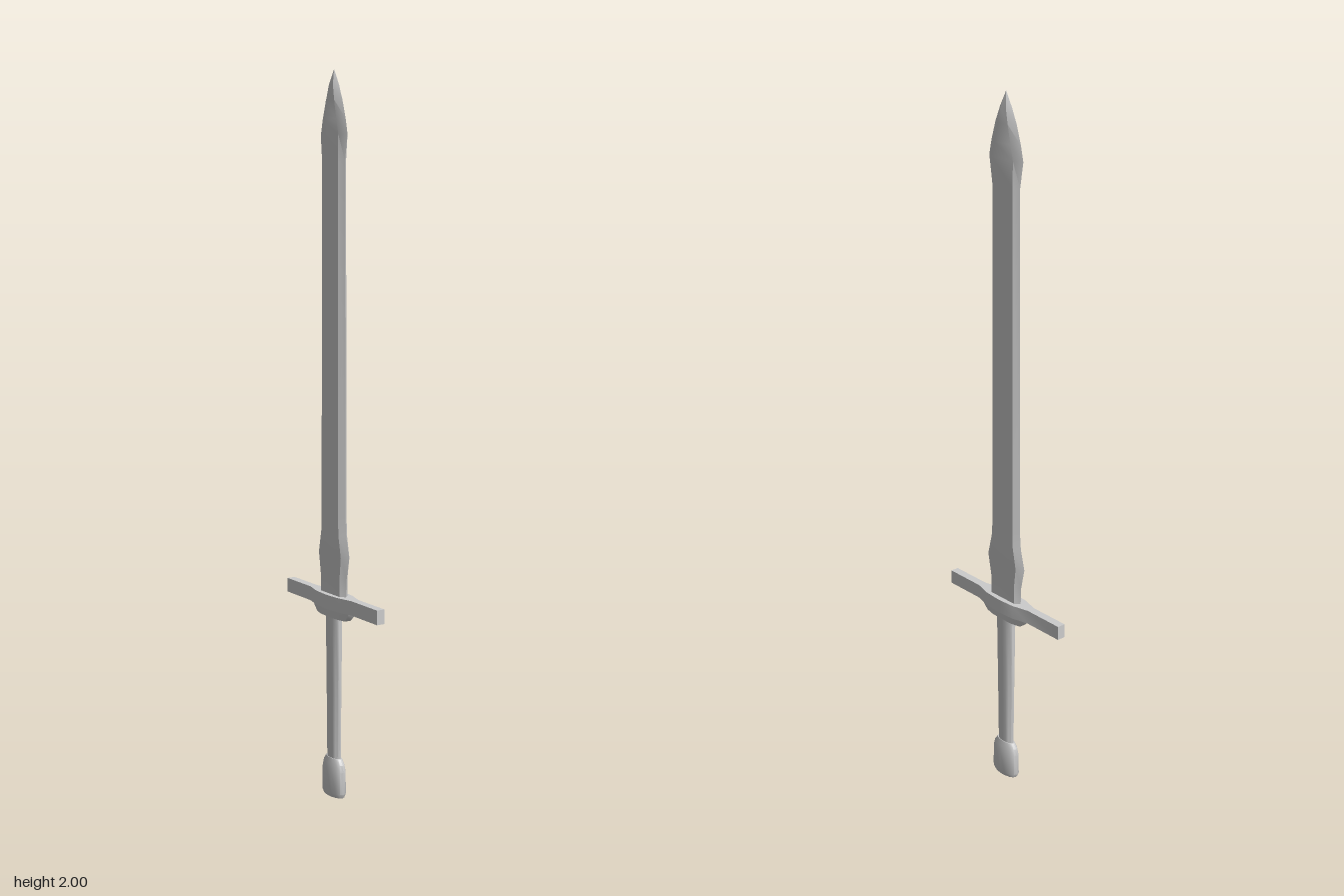
import * as THREE from 'three';
import { toCreasedNormals } from 'three/addons/utils/BufferGeometryUtils.js';

const material = new THREE.MeshStandardMaterial({ color: 0xcccccc });

// Skin a stack of rings (each { y, pts: [[x, z], ...] }, bottom to top) and cap both ends
function loft(name, rings, crease = 0.5) {
  const n = rings[0].pts.length;
  const pos = [];
  const index = [];
  for (const { y, pts } of rings) for (const [x, z] of pts) pos.push(x, y, z);
  for (let r = 0; r < rings.length - 1; r++) {
    for (let i = 0; i < n; i++) {
      const a = r * n + i, b = r * n + (i + 1) % n;
      index.push(a, a + n, b + n, a, b + n, b);
    }
  }
  const last = rings.length - 1;
  const bottom = rings.length * n, top = bottom + 1;
  pos.push(0, rings[0].y, 0, 0, rings[last].y, 0);
  for (let i = 0; i < n; i++) {
    const j = (i + 1) % n;
    index.push(bottom, i, j, top, last * n + j, last * n + i);
  }
  const geometry = new THREE.BufferGeometry();
  geometry.setAttribute('position', new THREE.Float32BufferAttribute(pos, 3));
  geometry.setIndex(index);
  const mesh = new THREE.Mesh(toCreasedNormals(geometry, crease), material);
  mesh.name = name;
  return mesh;
}

// Flattened hexagon: cutting edges at +-w, flat faces at +-t that end at +-b
const hexagon = (w, b, t) => [[t, -b], [t, b], [0, w], [-t, b], [-t, -b], [0, -w]];

// Ellipse with half sizes rx, rz
const ellipse = (rx, rz, n = 16) => Array.from({ length: n }, (_, i) => {
  const a = (i / n) * Math.PI * 2;
  return [rx * Math.cos(a), rz * Math.sin(a)];
});

// Complete a quarter outline, given from +x towards +z, to all four sides
function mirror(quarter) {
  const half = [...quarter, ...quarter.slice().reverse().map(([x, z]) => [-x, z])];
  const back = half.slice(1, -1).reverse().map(([x, z]) => [x, -z]);
  return [...half, ...back];
}

export function createModel() {
  const group = new THREE.Group();
  group.name = 'sword';

  // Blade: flared base, long straight body, leaf-shaped point
  const blade = [
    [0.57, 0.06, 0.048, 0.013],
    [0.63, 0.064, 0.048, 0.013],
    [0.69, 0.077, 0.056, 0.014],
    [0.75, 0.062, 0.044, 0.014],
    [0.8, 0.058, 0.042, 0.014],
    [1.76, 0.054, 0.039, 0.013],
    [1.83, 0.066, 0.041, 0.013],
    [1.87, 0.057, 0.031, 0.013],
    [1.92, 0.041, 0.02, 0.0125],
    [1.96, 0.023, 0.01, 0.01],
    [2.0, 0.0006, 0.0003, 0.0003],
  ];
  group.add(loft('blade', blade.map(([y, w, b, t]) => ({ y, pts: hexagon(w, b, t) }))));

  // Crossguard: straight bar swelling around the blade
  const plan = mirror([[0.029, 0], [0.025, 0.055], [0.012, 0.105], [0.012, 0.23]]);
  group.add(loft('crossguard', [{ y: 0.54, pts: plan }, { y: 0.58, pts: plan }]));

  // Collar under the crossguard
  const collar = (x, z) => mirror([[x, 0], [x * 0.92, z * 0.6], [x * 0.55, z]]);
  group.add(loft('collar', [
    { y: 0.515, pts: collar(0.018, 0.07) },
    { y: 0.53, pts: collar(0.019, 0.085) },
    { y: 0.545, pts: collar(0.02, 0.092) },
  ]));

  // Grip: oval, slightly wider at the top
  group.add(loft('grip', [
    { y: 0.09, pts: ellipse(0.013, 0.029) },
    { y: 0.3, pts: ellipse(0.014, 0.032) },
    { y: 0.52, pts: ellipse(0.015, 0.036) },
  ], 0.9));

  // Pommel: oval cap with a sloped shoulder and a softened bottom rim
  group.add(loft('pommel', [
    { y: 0, pts: ellipse(0.02, 0.044) },
    { y: 0.012, pts: ellipse(0.024, 0.05) },
    { y: 0.075, pts: ellipse(0.023, 0.049) },
    { y: 0.095, pts: ellipse(0.019, 0.045) },
    { y: 0.11, pts: ellipse(0.015, 0.034) },
  ], 0.8));

  return group;
}
